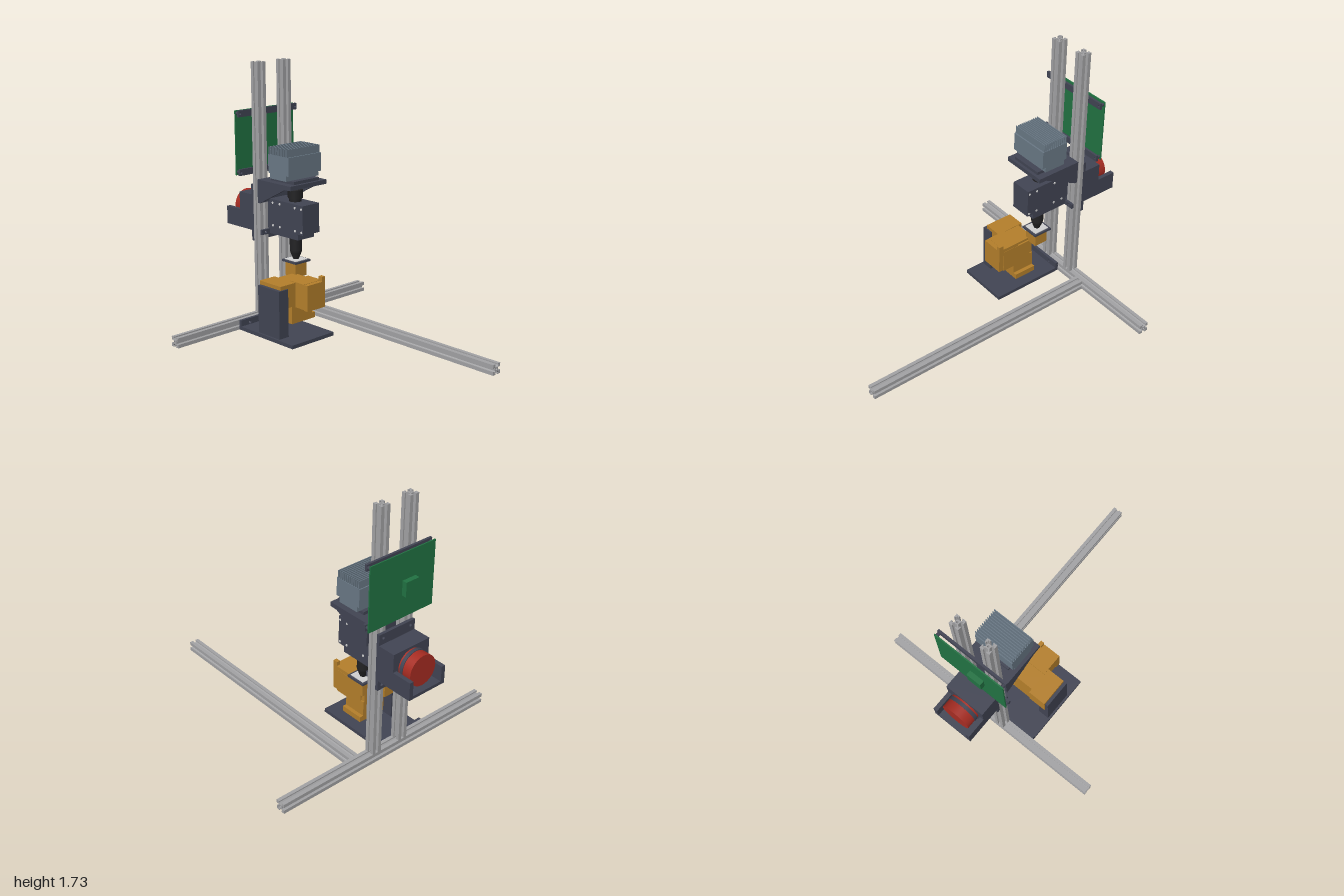
import * as THREE from 'three';

const mat = (name, color) => {
  const m = new THREE.MeshStandardMaterial({ color });
  m.name = name;
  return m;
};

export function createModel() {
  const root = new THREE.Group();
  root.name = 'drillingStation';
  const aluminium = mat('aluminium', 0xa2a2a4);
  const dark = mat('darkPlastic', 0x414453);
  const green = mat('boardGreen', 0x217242);
  const orange = mat('armOrange', 0xb47f2b);
  const red = mat('knobRed', 0xa62c22);
  const steel = mat('motorBlueGrey', 0x697885);
  const black = mat('spindleBlack', 0x222224);
  const pale = mat('paleMetal', 0xd0d0d0);

  const add = (name, geo, m, parent = root) => {
    const mesh = new THREE.Mesh(geo, m);
    mesh.name = name;
    parent.add(mesh);
    return mesh;
  };
  // Box given by its ranges in x, y and z
  const box = (name, m, x0, x1, y0, y1, z0, z1) => {
    const b = add(name, new THREE.BoxGeometry(x1 - x0, y1 - y0, z1 - z0), m);
    b.position.set((x0 + x1) / 2, (y0 + y1) / 2, (z0 + z1) / 2);
    return b;
  };
  // Flat xy plate with round holes, extruded from z0 to z1
  const plate = (name, m, x0, x1, y0, y1, z0, z1, holes) => {
    const s = new THREE.Shape();
    s.moveTo(x0, y0).lineTo(x1, y0).lineTo(x1, y1).lineTo(x0, y1).closePath();
    for (const [x, y, r] of holes) s.holes.push(new THREE.Path().absarc(x, y, r, 0, Math.PI * 2, true));
    const g = new THREE.ExtrudeGeometry(s, { depth: z1 - z0, bevelEnabled: false, curveSegments: 6 });
    g.translate(0, 0, z0);
    return add(name, g, m);
  };

  // Slotted aluminium rails
  const side = [[0.033, -0.01], [0.025, -0.01], [0.025, -0.019], [0.013, -0.009],
    [0.013, 0.009], [0.025, 0.019], [0.025, 0.01], [0.033, 0.01], [0.033, 0.033]];
  const profile = new THREE.Shape();
  for (let k = 0; k < 4; k++) {
    const c = Math.round(Math.cos(k * Math.PI / 2)), s = Math.round(Math.sin(k * Math.PI / 2));
    side.forEach(([x, y], i) => {
      const px = x * c - y * s, py = x * s + y * c;
      if (k + i === 0) profile.moveTo(px, py); else profile.lineTo(px, py);
    });
  }
  profile.closePath();
  profile.holes.push(new THREE.Path().absarc(0, 0, 0.007, 0, Math.PI * 2, true));
  const rail = (name, length, x, y, z, rx, ry) => {
    const g = new THREE.ExtrudeGeometry(profile, { depth: length, bevelEnabled: false, curveSegments: 6 });
    g.translate(0, 0, -length / 2);
    const r = add(name, g, aluminium);
    r.position.set(x, y, z);
    r.rotation.set(rx, ry, 0);
  };
  rail('crossRail', 1.655, 0, 0.033, -0.692, 0, Math.PI / 2);
  rail('footRail', 1.66, 0.237, 0.033, 0.17, 0, 0);
  for (const s of [-1, 1]) rail('uprightRail', 1.66, s * 0.107, 0.896, -0.692, Math.PI / 2, 0);

  // Circuit board on two strips with corner standoffs
  for (const y of [1.0, 1.38]) {
    plate('boardStrip', dark, -0.248, 0.248, y, y + 0.042, -0.74, -0.725, [[-0.235, y + 0.021, 0.008], [0.235, y + 0.021, 0.008]]);
    for (const s of [-1, 1]) {
      const p = add('standoff', new THREE.CylinderGeometry(0.011, 0.011, 0.022, 10), dark);
      p.rotation.x = Math.PI / 2;
      p.position.set(s * 0.235, y + 0.021, -0.75);
    }
  }
  box('circuitBoard', green, -0.248, 0.248, 1.0, 1.42, -0.768, -0.76);
  box('chip', green, -0.1, 0, 1.15, 1.245, -0.8, -0.768);

  // Spindle motor with cooling fins
  box('motorFoot', dark, -0.11, 0.11, 0.975, 0.995, -0.58, -0.365);
  box('motorNeck', steel, -0.14, 0.14, 0.995, 1.03, -0.555, -0.405);
  box('motorBody', steel, -0.14, 0.14, 1.03, 1.15, -0.572, -0.38);
  for (let i = 0; i < 12; i++) {
    const z = -0.563 + i * 0.0155;
    box('coolingFin', steel, -0.14, 0.14, 1.15, 1.2, z - 0.0025, z + 0.0025);
  }

  // Motor bracket: shelf, two gussets and a bolted flange
  box('bracketShelf', dark, -0.145, 0.145, 0.947, 0.975, -0.66, -0.345);
  const gusset = new THREE.Shape([[0.345, 0.947], [0.4, 0.945], [0.64, 0.82], [0.66, 0.82], [0.66, 0.975], [0.345, 0.975]]
    .map(([x, y]) => new THREE.Vector2(x, y)));
  for (const x of [-0.158, 0.142]) {
    const g = new THREE.ExtrudeGeometry(gusset, { depth: 0.015, bevelEnabled: false });
    g.rotateY(Math.PI / 2);
    g.translate(x, 0, 0);
    add('bracketGusset', g, dark);
  }
  const bolts = [];
  for (const x of [-0.107, 0.107]) for (const y of [0.847, 0.92]) bolts.push([x, y, 0.011]);
  plate('bracketFlange', dark, -0.145, 0.145, 0.82, 0.95, -0.66, -0.643, bolts);

  // Spindle housing with side screws and its lower support
  box('spindleHousing', dark, -0.072, 0.072, 0.645, 0.838, -0.645, -0.327);
  for (const s of [-1, 1]) for (const z of [-0.34, -0.4, -0.545, -0.612]) for (const y of [0.663, 0.815]) {
    const c = add('housingScrew', new THREE.CylinderGeometry(0.008, 0.008, 0.006, 10), pale);
    c.rotation.z = Math.PI / 2;
    c.position.set(s * 0.072, y, z);
  }
  box('lowerSupport', dark, -0.072, 0.072, 0.605, 0.645, -0.655, -0.375);
  plate('lowerFlange', dark, -0.14, 0.14, 0.603, 0.636, -0.66, -0.643, [[-0.107, 0.62, 0.01], [0.107, 0.62, 0.01]]);

  // Turned spindle
  const spindle = [[0, 0.452], [0.019, 0.452], [0.038, 0.5], [0.04, 0.51], [0.04, 0.86],
    [0.049, 0.86], [0.049, 0.915], [0.04, 0.92], [0.04, 0.95], [0, 0.95]];
  black.flatShading = false;
  for (let i = 0; i < spindle.length - 1; i++) {
    const seg = [spindle[i], spindle[i + 1]].map(([r, y]) => new THREE.Vector2(r, y));
    add('spindle', new THREE.LatheGeometry(seg, 28), black).position.z = -0.473;
  }

  // Rear plate and cradle holding the red knob
  const rearBolts = [];
  for (const x of [-0.107, 0.107]) for (const y of [0.58, 0.9]) rearBolts.push([x, y, 0.01]);
  plate('rearPlate', dark, -0.14, 0.14, 0.55, 0.93, -0.745, -0.725, rearBolts);
  box('rearSpacer', dark, -0.06, 0.05, 0.64, 0.84, -0.725, -0.645);
  box('rearBlock', dark, -0.14, 0.14, 0.62, 0.86, -0.865, -0.745);
  box('cradleFloor', dark, -0.14, 0.14, 0.62, 0.64, -1.0, -0.865);
  for (const s of [-1, 1]) {
    const x = s * 0.126;
    box('cradleWall', dark, x - 0.014, x + 0.014, 0.64, 0.74, -1.0, -0.865);
  }
  const disc = (name, m, r, z0, z1) => {
    const d = add(name, new THREE.CylinderGeometry(r, r, z1 - z0, 36), m);
    d.rotation.x = Math.PI / 2;
    d.position.set(0, 0.745, (z0 + z1) / 2);
  };
  disc('redKnob', red, 0.1, -0.96, -0.865);
  disc('knobCollar', dark, 0.104, -0.9, -0.877);

  // Workpiece holder under the spindle
  box('holderFrame', dark, -0.065, 0.065, 0.435, 0.448, -0.54, -0.405);
  box('holderTop', pale, -0.052, 0.052, 0.448, 0.452, -0.527, -0.418);
  box('holderBlock', orange, -0.05, 0.046, 0.34, 0.435, -0.52, -0.425);

  // Arm base: plate, bolted back lip and post
  box('armBasePlate', dark, -0.335, 0.02, 0, 0.024, -0.66, -0.145);
  plate('armBaseLip', dark, -0.335, 0.02, 0.02, 0.065, -0.66, -0.64, [[-0.055, 0.037, 0.01], [-0.26, 0.037, 0.01]]);
  box('armPost', dark, -0.322, -0.245, 0.024, 0.34, -0.48, -0.28);

  // Arm, stacked from blocks
  box('armShoulder', orange, -0.3, -0.175, 0.212, 0.365, -0.488, -0.29);
  box('armMiddle', orange, -0.245, -0.03, 0.225, 0.362, -0.46, -0.31);
  box('armElbow', orange, -0.175, -0.022, 0.23, 0.37, -0.335, -0.21);
  box('armElbowFace', orange, -0.175, -0.022, 0.197, 0.368, -0.212, -0.178);
  box('armElbowUnder', orange, -0.165, -0.032, 0.197, 0.24, -0.3, -0.2);
  box('armTopTab', orange, -0.047, -0.022, 0.36, 0.4, -0.21, -0.178);
  box('armSideCover', orange, -0.04, -0.02, 0.19, 0.345, -0.435, -0.215);
  box('armWrist', orange, -0.195, -0.022, 0.09, 0.23, -0.46, -0.302);
  box('armGripper', orange, -0.03, 0.004, 0.09, 0.127, -0.46, -0.302);
  return root;
}
